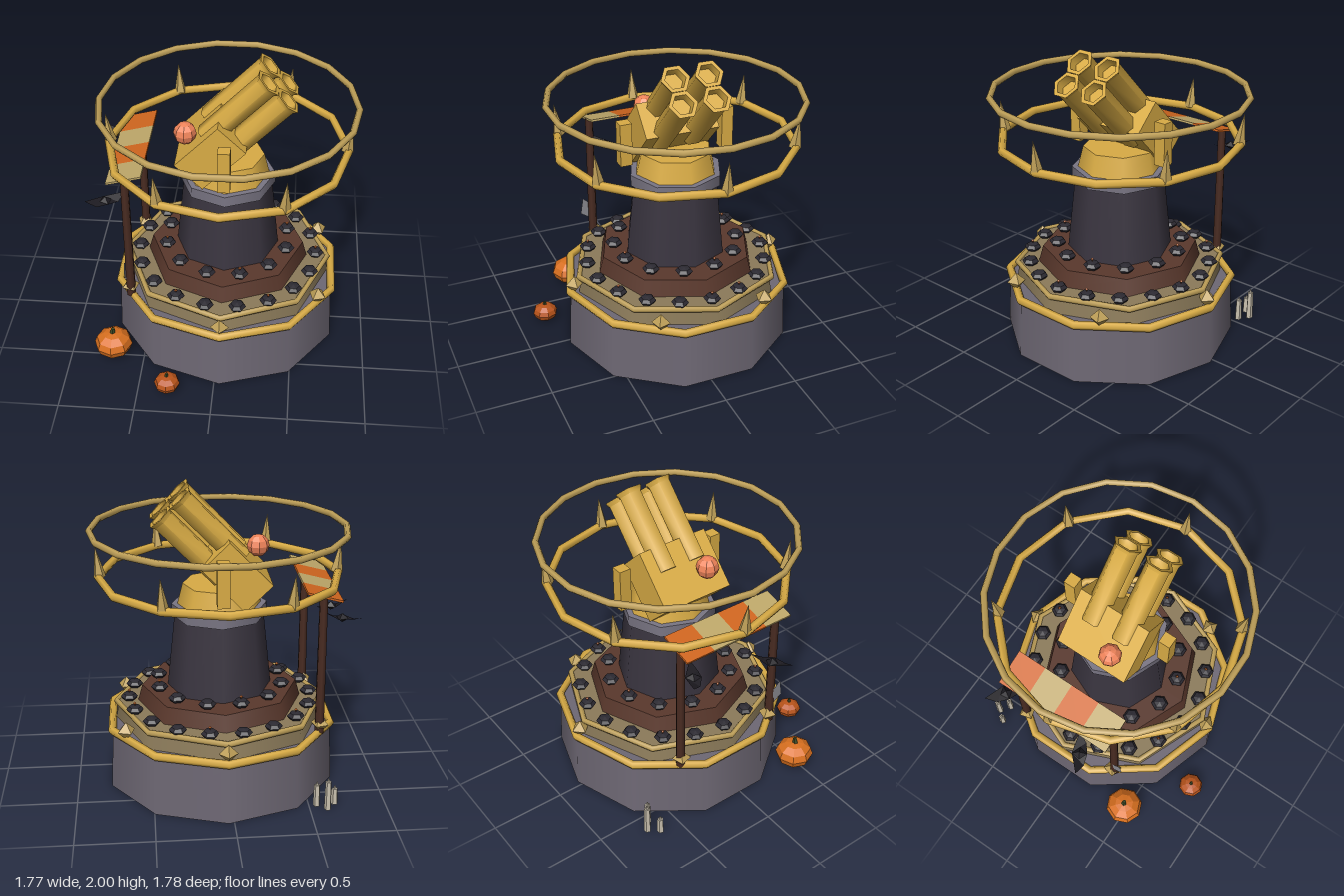
import * as THREE from 'three';
import { toCreasedNormals } from 'three/addons/utils/BufferGeometryUtils.js';

const CX = 0.035, CZ = -0.055; // tower axis
const C = {
  stone: 0x6e6874, collar: 0x7a7684, iron: 0x3a3540, bomb: 0x2c2a32, gold: 0xd9ac45, paleGold: 0xbfa058,
  deck: 0x8c7b5a, brown: 0x5a382c, post: 0x4a2c22, orange: 0xd0661f, cream: 0xbfa86a, spark: 0xe07a3a,
  ball: 0xf0845a, stem: 0x3d4a25, wax: 0xc9c0ae, black: 0x1e1c22, web: 0x8a8a90,
};

function mat(color, flat = false, double = false) {
  return new THREE.MeshStandardMaterial({ color, flatShading: flat, side: double ? THREE.DoubleSide : THREE.FrontSide });
}

function add(parent, name, geo, material, x = 0, y = 0, z = 0) {
  const m = new THREE.Mesh(geo, material);
  m.name = name;
  m.position.set(x, y, z);
  parent.add(m);
  return m;
}

// Tapered tier standing between heights y0 and y1
function tier(parent, name, rBottom, rTop, y0, y1, sides, color) {
  return add(parent, name, new THREE.CylinderGeometry(rTop, rBottom, y1 - y0, sides), mat(color), 0, (y0 + y1) / 2, 0);
}

function hoop(parent, name, radius, tube, sides, y, color, turn = 0) {
  const g = new THREE.TorusGeometry(radius, tube, 6, sides).rotateZ(turn).rotateX(Math.PI / 2);
  return add(parent, name, g, mat(color), 0, y, 0);
}

// Run a callback around a circle: count places from a start angle in degrees
function around(count, startDeg, radius, fn) {
  for (let i = 0; i < count; i++) {
    const a = THREE.MathUtils.degToRad(startDeg + (360 / count) * i);
    fn(Math.cos(a) * radius, Math.sin(a) * radius, a, i);
  }
}

function bomb(parent, x, y, z, lit) {
  const g = new THREE.Group();
  g.name = 'bomb';
  g.position.set(x, y, z);
  add(g, 'bombBody', new THREE.SphereGeometry(0.058, 6, 4).scale(1, 0.52, 1), mat(C.bomb, true));
  if (lit) {
    add(g, 'fuse', new THREE.CylinderGeometry(0.004, 0.004, 0.02, 4), mat(C.brown), 0, 0.033, 0);
    add(g, 'spark', new THREE.OctahedronGeometry(0.012), mat(C.spark, true), 0, 0.044, 0);
  }
  parent.add(g);
}

function pumpkin(parent, name, x, y, z, r, color) {
  const g = new THREE.Group();
  g.name = name;
  g.position.set(x, y, z);
  add(g, 'pumpkinBody', new THREE.SphereGeometry(r, 8, 6).scale(1, 0.72, 1), mat(color, true));
  add(g, 'pumpkinStem', new THREE.CylinderGeometry(r * 0.1, r * 0.15, r * 0.3, 5), mat(C.stem, true), 0, r * 0.82, 0).rotation.z = -0.15;
  parent.add(g);
}

function bat(parent, x, y, z, yaw) {
  const g = new THREE.Group();
  g.name = 'bat';
  g.position.set(x, y, z);
  g.rotation.y = yaw;
  add(g, 'batBody', new THREE.OctahedronGeometry(0.04).scale(1, 0.75, 1.2), mat(C.black, true));
  for (const s of [-1, 1]) {
    const wing = new THREE.BufferGeometry();
    wing.setAttribute('position', new THREE.Float32BufferAttribute([
      0, 0, 0.05, s * 0.075, -0.01, 0.035, 0, 0, -0.05,
      s * 0.075, -0.01, 0.035, s * 0.14, 0.025, -0.01, 0, 0, -0.05,
    ], 3));
    wing.computeVertexNormals();
    add(g, 'batWing', wing, mat(C.black, true, true));
  }
  parent.add(g);
}

function buildTower() {
  const t = new THREE.Group();
  t.name = 'tower';
  t.position.set(CX, 0, CZ);

  // Stacked tiers
  tier(t, 'stoneBase', 0.78, 0.76, 0, 0.4, 10, C.stone);
  tier(t, 'deck', 0.7, 0.68, 0.4, 0.52, 8, C.deck);
  tier(t, 'brownStep', 0.55, 0.52, 0.52, 0.63, 8, C.brown);
  tier(t, 'column', 0.348, 0.295, 0.63, 1.13, 8, C.iron);
  tier(t, 'collar', 0.315, 0.315, 1.13, 1.205, 8, C.collar);
  tier(t, 'gunMount', 0.275, 0.24, 1.205, 1.345, 8, C.gold);

  // Hoops
  hoop(t, 'baseHoop', 0.762, 0.028, 10, 0.41, C.gold, Math.PI / 2);
  hoop(t, 'deckHoop', 0.695, 0.02, 8, 0.515, C.paleGold);
  hoop(t, 'spikeHoop', 0.785, 0.028, 12, 1.4, C.gold);
  hoop(t, 'topHoop', 0.83, 0.022, 18, 1.71, C.paleGold);

  // Spikes leaning slightly outward
  around(6, 0, 0.785, (x, z, a) => {
    const s = add(t, 'spike', new THREE.ConeGeometry(0.042, 0.21, 5), mat(C.paleGold, true), x, 1.505, z);
    s.rotation.set(0, -a, -0.12, 'YXZ');
  });

  // Studs on the lower hoop
  around(6, 30, 0.73, (x, z, a) => {
    add(t, 'stud', new THREE.OctahedronGeometry(0.062), mat(C.paleGold, true), x, 0.47, z).rotation.y = -a;
  });

  // Two rings of bombs, every third one lit
  around(18, 0, 0.61, (x, z, a, i) => bomb(t, x, 0.547, z, i < 9 ? i % 3 === 0 : i % 3 === 2));
  around(12, 15, 0.42, (x, z, a, i) => bomb(t, x, 0.66, z, i % 3 === 2));

  // Uprights either side of the gun
  for (const s of [-1, 1]) add(t, 'upright', new THREE.BoxGeometry(0.08, 0.29, 0.08), mat(C.gold), 0, 1.445, s * 0.355);
  return t;
}

function buildGun() {
  const gun = new THREE.Group();
  gun.name = 'gun';
  gun.position.set(-0.063, 1.45, CZ);
  gun.rotation.z = THREE.MathUtils.degToRad(46);
  add(gun, 'cradle', new THREE.BoxGeometry(0.4, 0.25, 0.505), mat(C.gold));

  // Four six-sided barrels with flared, hollow muzzles
  const profile = [[0, 0], [0.08, 0], [0.08, 0.53], [0.097, 0.56], [0.07, 0.56], [0.066, 0.5], [0, 0.5]]
    .map(([r, y]) => new THREE.Vector2(r, y));
  const barrel = toCreasedNormals(new THREE.LatheGeometry(profile, 6), 1.1).rotateZ(-Math.PI / 2);
  for (const y of [-0.085, 0.085]) {
    for (const z of [-0.112, 0.112]) add(gun, 'barrel', barrel, mat(C.gold), 0.04, y, z);
  }
  return gun;
}

function buildAwning() {
  const g = new THREE.Group();
  g.name = 'awning';
  for (const z of [0.325, -0.425]) {
    add(g, 'post', new THREE.CylinderGeometry(0.028, 0.032, 0.95, 6), mat(C.post), -0.593, 0.885, z);
  }
  // Striped cloth
  for (let i = 0; i < 4; i++) {
    const stripe = add(g, 'clothStripe', new THREE.BoxGeometry(0.235, 0.014, 0.2025),
      mat(i % 2 ? C.cream : C.orange), -0.597, 1.36, -0.364 + i * 0.2025);
    stripe.rotation.z = 0.26;
  }
  // Small web hung on the front post
  const web = new THREE.Shape([[0, 0], [0.075, 0.05], [0.055, 0.17], [0, 0.12]].map(([x, y]) => new THREE.Vector2(x, y)));
  add(g, 'web', new THREE.ShapeGeometry(web), mat(C.web, true, true), -0.62, 0.56, 0.33).rotation.y = -Math.PI / 2;
  return g;
}

export function createModel() {
  const root = new THREE.Group();
  root.name = 'turretTower';
  root.add(buildTower(), buildGun(), buildAwning());

  add(root, 'ball', new THREE.SphereGeometry(0.075, 8, 6), mat(C.ball, true), -0.233, 1.555, 0.057);

  pumpkin(root, 'largePumpkin', -0.71, 0.1, 0.485, 0.13, 0xd9701f);
  pumpkin(root, 'smallPumpkin', -0.305, 0.065, 0.8, 0.086, 0xb9541a);

  bat(root, -0.715, 1.21, -0.422, -0.56);
  bat(root, -0.755, 1.075, 0.17, 0.5);

  // Candles behind the base: x, z, height
  for (const [x, z, h] of [[-0.67, -0.645, 0.11], [-0.615, -0.71, 0.2], [-0.55, -0.66, 0.15]]) {
    add(root, 'candle', new THREE.CylinderGeometry(0.02, 0.024, h, 5), mat(C.wax, true), x, h / 2, z);
    add(root, 'candleTip', new THREE.ConeGeometry(0.01, 0.03, 5), mat(C.wax, true), x, h + 0.015, z);
  }
  return root;
}
